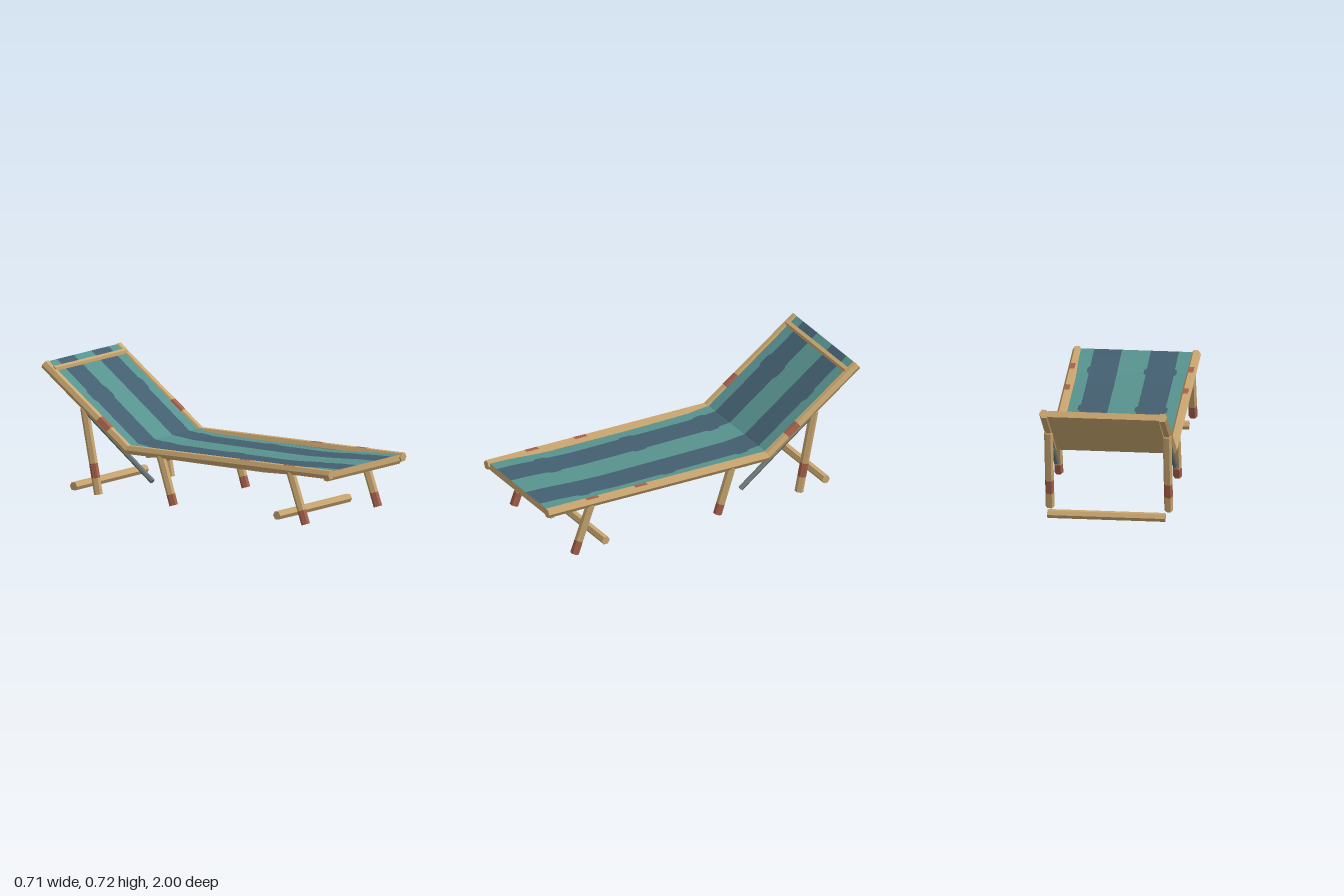
import * as THREE from 'three';

const mat = (name, color, side = THREE.FrontSide) => {
  const m = new THREE.MeshStandardMaterial({ color, side, flatShading: true });
  m.name = name;
  return m;
};

export function createModel() {
  const wood = mat('wood', 0xc9a670);
  const red = mat('redBrown', 0xa5604a);
  const metal = mat('greyMetal', 0x707a7a);
  const teal = mat('tealCloth', 0x57928e);
  const navy = mat('slateBlueCloth', 0x435f70);

  const group = new THREE.Group();
  group.name = 'sunLounger';
  const add = (name, geometry, material) => {
    const mesh = new THREE.Mesh(geometry, material);
    mesh.name = name;
    group.add(mesh);
    return mesh;
  };

  const UP = new THREE.Vector3(0, 1, 0);
  const HEX = Math.PI / 6;
  // Six-sided bar between two points; arc limits it to a few outer facets
  const bar = (name, a, b, r, material, spin = HEX, arc = null) => {
    const p = new THREE.Vector3(...a), q = new THREE.Vector3(...b);
    const d = q.clone().sub(p);
    const g = arc
      ? new THREE.CylinderGeometry(r, r, d.length(), arc.facets, 1, true, arc.start, arc.facets * Math.PI / 3)
      : new THREE.CylinderGeometry(r, r, d.length(), 6);
    g.rotateY(spin);
    const mesh = add(name, g, material);
    mesh.quaternion.setFromUnitVectors(UP, d.normalize());
    mesh.position.copy(p.add(q).multiplyScalar(0.5));
  };
  const lerp = (a, b, t) => a.map((v, i) => v + (b[i] - v) * t);

  const R = 0.027, X = 0.329;
  // [y, z] ends of the long rails
  const foot = [0.308, 1], fold = [0.287, -0.41], head = [0.701, -0.986];

  for (const s of [1, -1]) {
    const side = s > 0 ? 'left' : 'right';
    const at = ([y, z]) => [s * X, y, z];
    bar(side + 'SeatRail', at(foot), at(fold), R, wood);
    bar(side + 'BackRail', at(fold), at(head), R, wood);

    // Worn red marks on the top facets of the rails
    const mark = (name, a, b, t0, t1, facets, start) =>
      bar(side + name, at(lerp(a, b, t0)), at(lerp(a, b, t1)), R + 0.001, red, 0, { facets, start });
    // Seat rails point to -z, so their upper facet is centred on the local +z side
    mark('SeatRailMarkFront', foot, fold, 0.178, 0.234, 1, -HEX);
    mark('SeatRailMarkMiddle', foot, fold, 0.399, 0.454, 1, -HEX);
    mark('BackRailMark', foot.length ? fold : foot, head, 0.22, 0.345, 3, -3 * HEX);

    // Legs with red bands: [name, top, bottom, band start, band end]
    const legs = [
      ['FrontLeg', [0.295, 0.717], [0.01, 0.823], 0.74, 1],
      ['MiddleLeg', [0.28, -0.183], [0.01, -0.093], 0.78, 1],
      ['RearLeg', [0.485, -0.712], [0.01, -0.615], 0.64, 0.81],
    ];
    for (const [name, top, bottom, t0, t1] of legs) {
      const a = at(top), b = at(bottom);
      bar(side + name, a, lerp(a, b, t0), 0.0245, wood);
      bar(side + name + 'Band', lerp(a, b, t0), lerp(a, b, t1), 0.0245, red);
      if (t1 < 1) bar(side + name + 'End', lerp(a, b, t1), b, 0.0245, wood);
    }

    // Metal strut running on from the backrest
    bar(side + 'Strut', at([0.127, -0.24]), at([0.485, -0.72]), 0.015, metal);
  }

  // Cross bars: [name, y, z, radius, spin]
  const bars = [
    ['frontGroundBar', 0.035, 0.62, 0.025, 0],
    ['rearGroundBar', 0.035, -0.79, 0.025, 0],
    ['frontCrossBar', 0.288, 0.963, 0.023, 0],
    ['middleCrossBar', 0.272, -0.275, 0.02, 0],
    ['headBar', 0.677, -0.928, 0.018, 0.43],
  ];
  for (const [name, y, z, r, spin] of bars) bar(name, [-0.327, y, z], [0.327, y, z], r, wood, spin);

  // Sling centre line as [z, y], sagging along the seat and rising up the backrest
  const line = [[0.99, 0.306], [0.88, 0.302], [0.7, 0.289], [0.52, 0.28], [0, 0.277],
    [-0.28, 0.277], [-0.42, 0.289], [-0.986, 0.701]];
  const path = [];
  line.forEach(([z, y], i) => {
    if (!i) return path.push([z, y]);
    const prev = line[i - 1];
    const n = Math.ceil(Math.hypot(z - prev[0], y - prev[1]) / 0.02);
    for (let k = 1; k <= n; k++) path.push(lerp(prev, [z, y], k / n));
  });
  const HALF = 0.0175, W = 0.308;
  const offset = (i, h) => {
    const a = path[Math.max(i - 1, 0)], b = path[Math.min(i + 1, path.length - 1)];
    const dz = b[0] - a[0], dy = b[1] - a[1], l = Math.hypot(dz, dy);
    return [path[i][1] - dz / l * h, path[i][0] + dy / l * h];
  };
  const upper = path.map((_, i) => offset(i, HALF));
  const lower = path.map((_, i) => offset(i, -HALF));

  const surface = (fill) => {
    const pos = [];
    fill((a, b, c, d) => pos.push(...a, ...b, ...c, ...a, ...c, ...d));
    const g = new THREE.BufferGeometry();
    g.setAttribute('position', new THREE.Float32BufferAttribute(pos, 3));
    g.computeVertexNormals();
    return g;
  };

  // Stripe edges bulge a little at a few places along the sling
  const bulge = (z) => [0.71, 0.165, -0.305, -0.735].some((c) => Math.abs(z - c) < 0.035) ? 0.013 : 0;
  const lone = (z) => Math.max(bulge(z), Math.abs(z + 0.735) < 0 ? 0 : Math.abs(z - 0.71) < 0.035 ? 0.013 : 0);
  const edges = [
    () => -W,
    (z) => -0.235 - bulge(z),
    (z) => -0.08 + bulge(z),
    () => 0.08,
    (z) => 0.235 + lone(z),
    () => W,
  ];
  for (let k = 0; k < 5; k++) {
    const [l, r] = [edges[k], edges[k + 1]];
    add('slingStripe' + (k + 1), surface((quad) => {
      for (let i = 0; i < path.length - 1; i++) {
        const p = upper[i], q = upper[i + 1];
        quad([l(p[1]), ...p], [r(p[1]), ...p], [r(q[1]), ...q], [l(q[1]), ...q]);
      }
    }), k % 2 ? navy : teal);
  }

  // Plain underside, sides and ends of the sling
  add('slingUnderside', surface((quad) => {
    const n = path.length - 1;
    for (let i = 0; i < n; i++) {
      const u = upper[i], v = upper[i + 1], p = lower[i], q = lower[i + 1];
      quad([W, ...p], [-W, ...p], [-W, ...q], [W, ...q]);
      quad([W, ...p], [W, ...q], [W, ...v], [W, ...u]);
      quad([-W, ...q], [-W, ...p], [-W, ...u], [-W, ...v]);
    }
    quad([-W, ...lower[0]], [W, ...lower[0]], [W, ...upper[0]], [-W, ...upper[0]]);
    quad([W, ...lower[n]], [-W, ...lower[n]], [-W, ...upper[n]], [W, ...upper[n]]);
  }), wood);

  return group;
}
